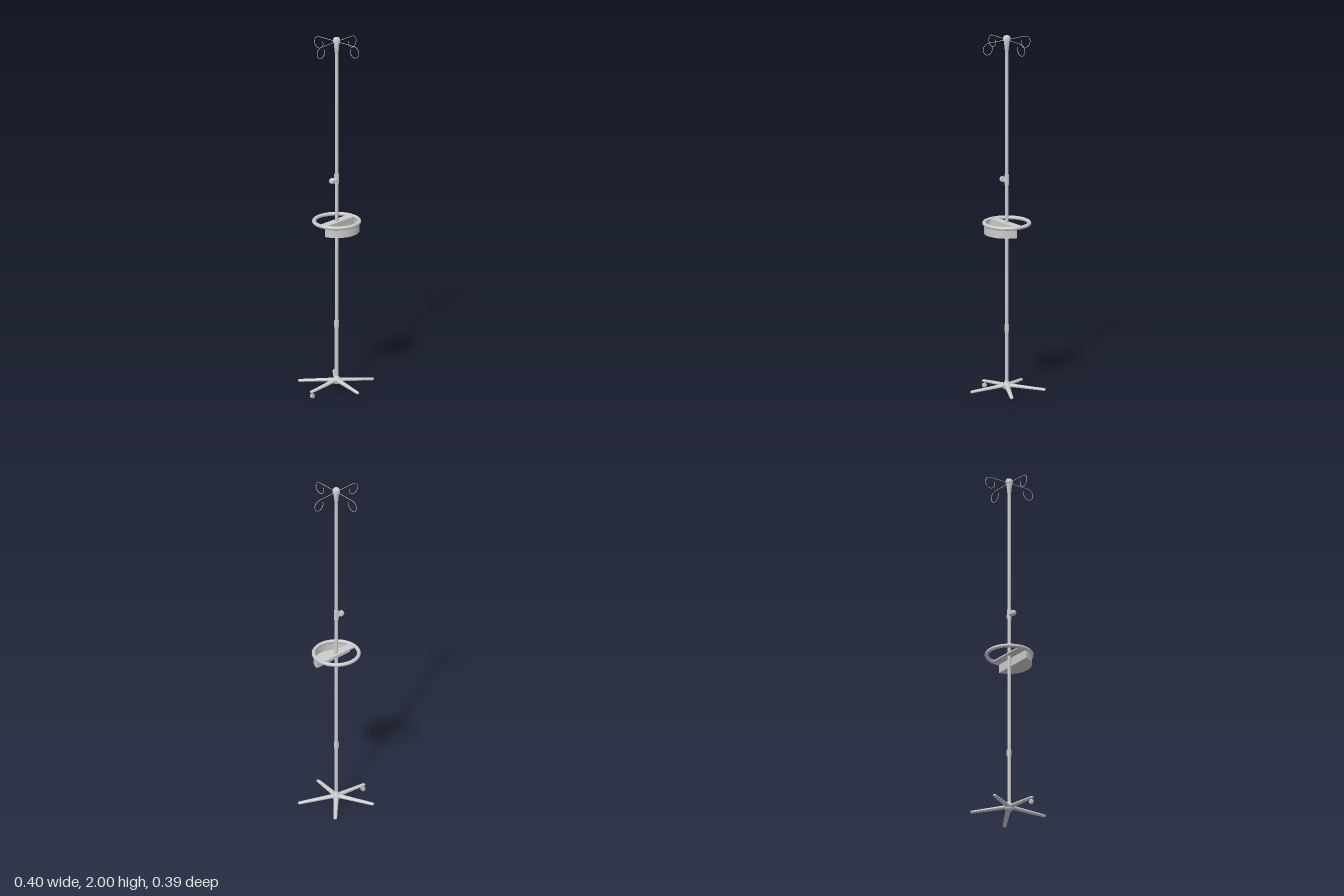
import * as THREE from 'three';
import { toCreasedNormals } from 'three/addons/utils/BufferGeometryUtils.js';

export function createModel() {
  const root = new THREE.Group();
  const mat = new THREE.MeshStandardMaterial({ color: 0xcccccc, side: THREE.DoubleSide });
  const stand = new THREE.Group();
  stand.name = 'stand';
  stand.position.set(0.0135, 0, -0.0115);
  root.add(stand);

  const add = (name, geo, parent = stand) => {
    const m = new THREE.Mesh(geo, mat);
    m.name = name;
    parent.add(m);
    return m;
  };
  const tube = (name, r0, r1, y0, y1) => {
    add(name, new THREE.CylinderGeometry(r1, r0, y1 - y0, 24)).position.y = (y0 + y1) / 2;
  };
  const lathe = (pts) => toCreasedNormals(
    new THREE.LatheGeometry(pts.map(([r, y]) => new THREE.Vector2(r, y)), 24), 0.6);

  // Telescopic pole and its collars
  tube('lowerPole', 0.0105, 0.0105, 0.04, 0.37);
  tube('middlePole', 0.01, 0.01, 0.37, 1.2);
  tube('upperPole', 0.009, 0.009, 1.2, 1.96);
  tube('lowerCollar', 0.0135, 0.0135, 0.355, 0.39);
  tube('heightCollar', 0.0135, 0.013, 1.172, 1.225);

  // Tapered head that holds the hooks, with a chamfered cap
  add('hookHead', lathe([[0.009, 1.91], [0.0105, 1.92], [0.015, 1.965], [0.015, 1.974],
    [0.0195, 1.974], [0.0195, 1.993], [0.0155, 2], [0, 2]]));

  // Domed locking knob on a short flared screw
  const knob = new THREE.Group();
  knob.name = 'lockKnob';
  knob.position.y = 1.194;
  knob.rotation.z = Math.PI / 2;
  stand.add(knob);
  add('knobDome', lathe([[0, 0.03], [0.0155, 0.03], [0.0165, 0.033], [0.0165, 0.038],
    [0.0155, 0.043], [0.0125, 0.048], [0.008, 0.0515], [0, 0.0535]]), knob);
  add('knobScrew', lathe([[0.0115, 0.01], [0.0115, 0.019], [0.005, 0.024], [0.005, 0.03]]), knob);

  // Four hooks: straight arm ending in an inward curl
  const pts = [0, 0.05, 0.1].map((x) => new THREE.Vector3(x, 1.979, 0));
  for (let i = 0; i <= 10; i++) {
    const a = Math.PI / 2 - (i / 10) * Math.PI * 1.62;
    pts.push(new THREE.Vector3(0.128 + 0.031 * Math.cos(a), 1.946 + 0.032 * Math.sin(a), 0));
  }
  const hookGeo = new THREE.TubeGeometry(new THREE.CatmullRomCurve3(pts), 60, 0.0015, 8);
  for (let i = 0; i < 4; i++) add('hook', hookGeo).rotation.y = i * Math.PI / 2;

  // Steering ring with its cross plate
  const ring = add('ringHandle', new THREE.TorusGeometry(0.122, 0.0105, 14, 48));
  ring.rotation.x = Math.PI / 2;
  ring.position.y = 0.957;
  add('crossPlate', new THREE.BoxGeometry(0.236, 0.008, 0.047)).position.y = 0.955;

  // Half-moon basket, open on top
  const R = 0.1235, zBack = 0.0225, t = 0.001;
  const segment = (r, z) => {
    const a = Math.asin(z / r);
    return new THREE.Shape().absarc(0, 0, r, a, Math.PI - a, false).closePath();
  };
  const extrude = (shape, depth, y) => {
    const g = new THREE.ExtrudeGeometry(shape, { depth, bevelEnabled: false, curveSegments: 32 });
    return toCreasedNormals(g.rotateX(Math.PI / 2).translate(0, y + depth, 0), 0.6);
  };
  const wall = segment(R, zBack);
  wall.holes.push(segment(R - t, zBack + t));
  add('basketWall', extrude(wall, 0.049, 0.903));
  add('basketFloor', extrude(segment(R, zBack), 0.002, 0.902));

  // Five sloping, tapered legs with flat undersides around a hub
  add('hub', lathe([[0, 0.034], [0.018, 0.034], [0.022, 0.04], [0.022, 0.056], [0.018, 0.066],
    [0.0125, 0.072], [0.0105, 0.082]]));
  const flatten = (geo) => {
    const p = geo.attributes.position;
    for (let i = 0; i < p.count; i++) p.setY(i, Math.max(p.getY(i), -0.006));
    return toCreasedNormals(geo, 0.7);
  };
  const legGeo = flatten(new THREE.CylinderGeometry(0.01, 0.0145, 0.203, 20, 1, true)
    .rotateZ(-Math.PI / 2).translate(0.1015, 0, 0).scale(1, 0.8, 1));
  const tipGeo = flatten(new THREE.SphereGeometry(0.01, 20, 12).scale(1, 0.8, 1).translate(0.203, 0, 0));
  for (const deg of [180, 105, 30, -45, -120]) {
    const leg = new THREE.Group();
    leg.name = 'leg';
    leg.position.y = 0.054;
    leg.rotation.set(0, -deg * Math.PI / 180, -0.09, 'YXZ');
    stand.add(leg);
    add('legBar', legGeo, leg);
    add('legTip', tipGeo, leg);
  }

  // Twin-wheel caster under one leg
  const caster = new THREE.Group();
  caster.name = 'caster';
  caster.position.x = -0.198;
  stand.add(caster);
  add('casterStem', new THREE.CylinderGeometry(0.003, 0.003, 0.02, 12), caster).position.y = 0.022;
  for (const s of [-1, 1]) {
    const wheel = add('casterWheel', new THREE.CylinderGeometry(0.0125, 0.0125, 0.005, 20), caster);
    wheel.rotation.x = Math.PI / 2;
    wheel.position.set(0, 0.0125, s * 0.0045);
  }
  return root;
}
